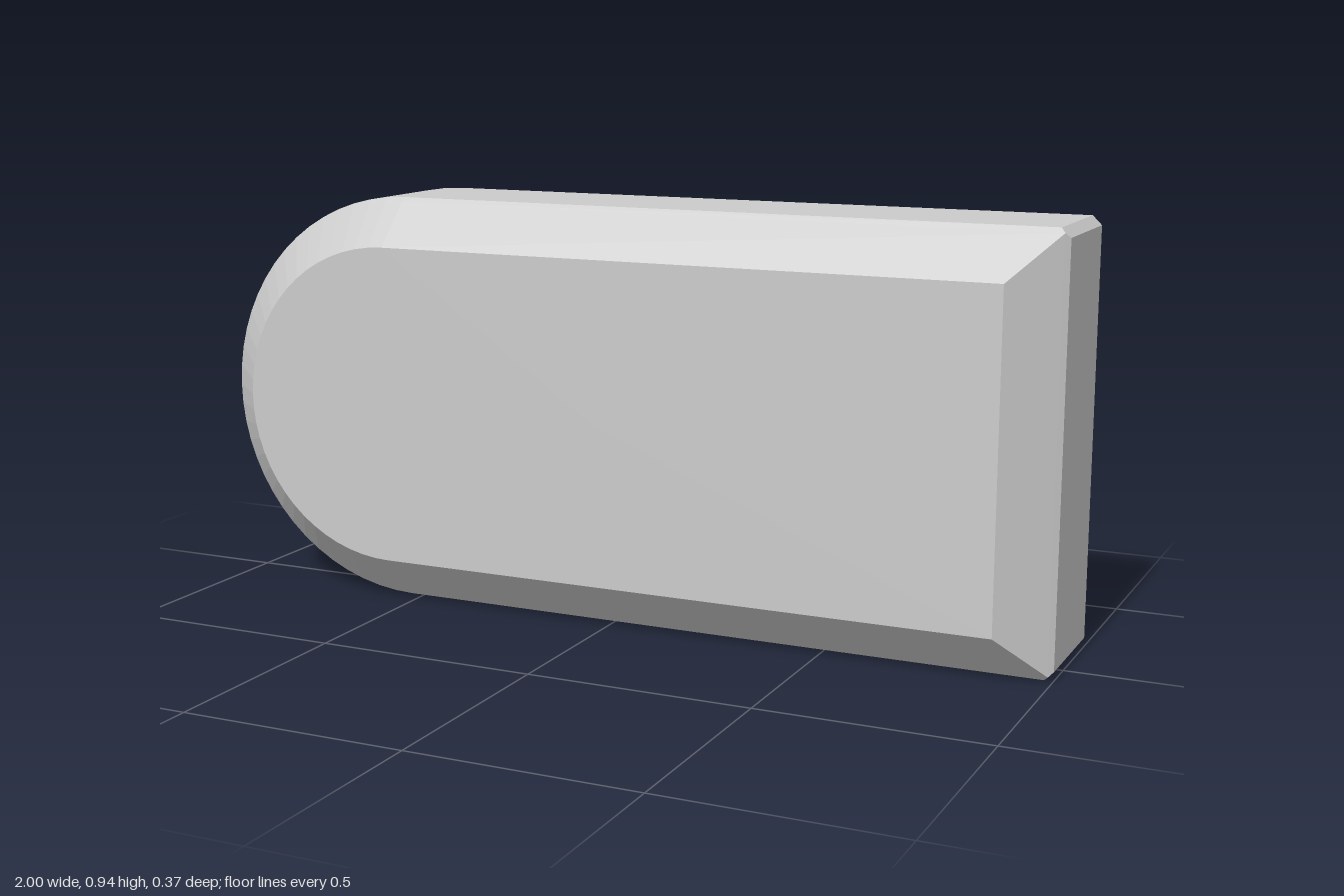
import * as THREE from 'three';

const HEIGHT = 0.935, RADIUS = HEIGHT / 2, ARC_X = RADIUS - 1, ARC_STEPS = 32, CORNER = 0.02;
const material = new THREE.MeshStandardMaterial({ color: 0xcccccc, flatShading: true });

// Half-round outline, moved inwards by d, counter-clockwise seen from the front
function outline(d, z) {
  const cut = Math.max(0, CORNER - 2 * d), right = 1 - d, r = RADIUS - d;
  const low = RADIUS - r, high = RADIUS + r;
  const points = [
    [right - cut, low], [right, low + cut],
    [right, high - cut], [right - cut, high],
  ];
  for (let i = 0; i <= ARC_STEPS; i++) {
    const a = Math.PI * (0.5 + i / ARC_STEPS);
    points.push([ARC_X + r * Math.cos(a), RADIUS + r * Math.sin(a)]);
  }
  return points.map(([x, y]) => new THREE.Vector3(x, y, z));
}

// Skin a list of rings ordered from the front cap round to the inner floor
function loft(rings) {
  const positions = [];
  const addTriangle = (a, b, c) => {
    if (new THREE.Triangle(a, b, c).getArea() < 1e-8) return;
    for (const p of [a, b, c]) positions.push(p.x, p.y, p.z);
  };
  for (let i = 0; i < rings.length - 1; i++) {
    const front = rings[i], back = rings[i + 1], n = front.length;
    for (let j = 0; j < n; j++) {
      const k = (j + 1) % n;
      addTriangle(front[j], back[j], front[k]);
      addTriangle(back[j], back[k], front[k]);
    }
  }
  const geometry = new THREE.BufferGeometry();
  geometry.setAttribute('position', new THREE.Float32BufferAttribute(positions, 3));
  geometry.computeVertexNormals();
  return geometry;
}

// Round post section with a hole, running from z0 to z1
function postSection(name, hole, z0, z1) {
  const shape = new THREE.Shape().absarc(0, 0, 0.105, 0, Math.PI * 2, false);
  shape.holes.push(hole);
  const geometry = new THREE.ExtrudeGeometry(shape, {
    depth: z1 - z0, bevelEnabled: false, curveSegments: 12,
  });
  const mesh = new THREE.Mesh(geometry, material);
  mesh.name = name;
  mesh.position.set(0, RADIUS, z0);
  return mesh;
}

export function createModel() {
  const model = new THREE.Group();
  model.name = 'halfRoundCover';

  // Hollow shell: [inset, z] down the outside, over the stepped rim and up the inside
  const profile = [
    [0.105, 0.183], [0.01, 0.09], [0, 0.08], [0, -0.183],
    [0.022, -0.183], [0.022, -0.157], [0.045, -0.157],
    [0.045, 0.061], [0.122, 0.138],
  ];
  const rings = profile.map(([d, z]) => outline(d, z));
  const centre = (z) => rings[0].map(() => new THREE.Vector3(0, RADIUS, z));
  const shell = new THREE.Mesh(loft([centre(0.183), ...rings, centre(0.138)]), material);
  shell.name = 'shell';
  model.add(shell);

  // Fixing post on the inner floor: hexagonal socket at the tip, round bore below
  const post = new THREE.Group();
  post.name = 'fixingPost';
  const hexagon = new THREE.Path();
  hexagon.setFromPoints(Array.from({ length: 6 }, (_, i) =>
    new THREE.Vector2(0.07 * Math.cos(i * Math.PI / 3), 0.07 * Math.sin(i * Math.PI / 3))));
  hexagon.closePath();
  const bore = new THREE.Path().absarc(0, 0, 0.036, 0, Math.PI * 2, true);
  post.add(
    postSection('hexSocket', hexagon, -0.155, -0.095),
    postSection('boredPost', bore, -0.095, 0.139),
  );
  model.add(post);
  return model;
}
